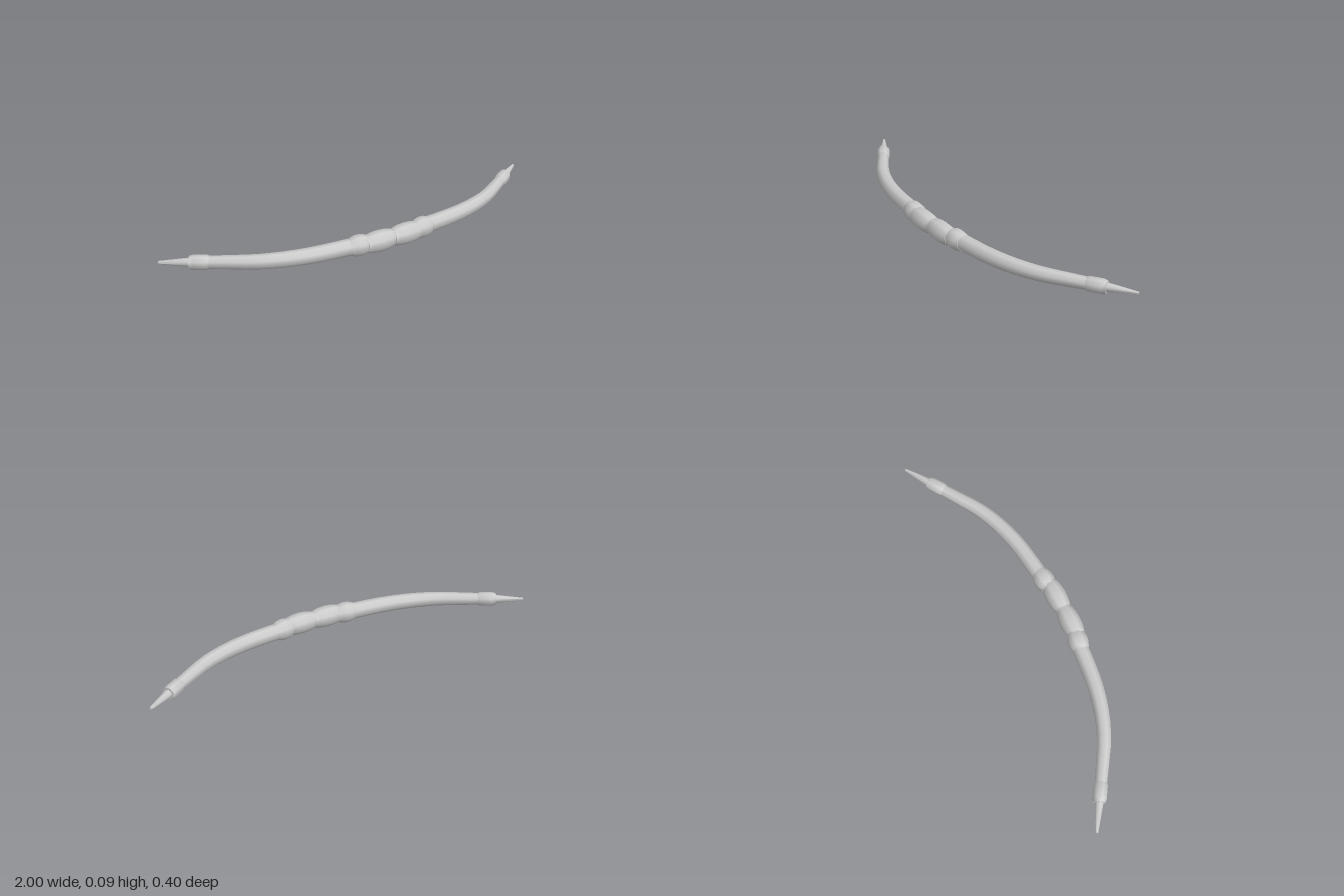
import * as THREE from 'three';
import { toCreasedNormals } from 'three/addons/utils/BufferGeometryUtils.js';

const SIDES = 8;
const MID_Y = 0.047;

// Octagonal tube with flats up and down: centres in the XZ plane, one flat-to-centre distance per ring
function sweep(name, centres, apothems) {
  const pos = [], index = [], up = new THREE.Vector3(0, 1, 0);
  const n = centres.length;
  centres.forEach((c, i) => {
    const t = centres[Math.min(i + 1, n - 1)].clone().sub(centres[Math.max(i - 1, 0)]).normalize();
    const side = t.clone().cross(up);
    const r = apothems[i] / Math.cos(Math.PI / SIDES);
    for (let k = 0; k < SIDES; k++) {
      const a = ((k + 0.5) / SIDES) * Math.PI * 2;
      const p = c.clone().addScaledVector(up, r * Math.cos(a)).addScaledVector(side, r * Math.sin(a));
      pos.push(p.x, p.y, p.z);
    }
  });
  for (let i = 0; i < n - 1; i++) {
    for (let k = 0; k < SIDES; k++) {
      const a = i * SIDES + k, b = i * SIDES + (k + 1) % SIDES;
      index.push(a, a + SIDES, b, b, a + SIDES, b + SIDES);
    }
  }
  // end caps
  const last = (n - 1) * SIDES;
  for (let k = 1; k < SIDES - 1; k++) {
    index.push(0, k, k + 1, last, last + k + 1, last + k);
  }
  // order the corners outwards
  for (let i = 0; i < index.length; i += 3) {
    [index[i + 1], index[i + 2]] = [index[i + 2], index[i + 1]];
  }
  const geo = new THREE.BufferGeometry();
  geo.setAttribute('position', new THREE.Float32BufferAttribute(pos, 3));
  geo.setIndex(index);
  const mat = new THREE.MeshStandardMaterial({ color: 0xcccccc, side: THREE.DoubleSide });
  const mesh = new THREE.Mesh(toCreasedNormals(geo, 0.9), mat);
  mesh.name = name;
  return mesh;
}

// Straight part: profile of [fraction along, apothem] between two (x, z) points
function straight(name, from, to, profile) {
  const a = new THREE.Vector3(from[0], MID_Y, from[1]);
  const b = new THREE.Vector3(to[0], MID_Y, to[1]);
  return sweep(name, profile.map(([f]) => a.clone().lerp(b, f)), profile.map(([, r]) => r));
}

export function createModel() {
  const bow = new THREE.Group();
  bow.name = 'bow';

  const limbPath = [[0.14, 0.142], [0.25, 0.132], [0.4, 0.112], [0.53, 0.077], [0.64, 0.03], [0.74, -0.032], [0.86, -0.109]];
  const innerBead = [[0, 0.036], [0.1, 0.04], [0.27, 0.0445], [0.5, 0.0465], [0.73, 0.0445], [0.9, 0.04], [1, 0.036]];
  const outerBead = [[0, 0.036], [0.2, 0.0425], [0.4, 0.0455], [0.6, 0.0455], [0.8, 0.0425], [1, 0.036]];
  const collar = [[0, 0.026], [0.14, 0.031], [0.8, 0.031], [1, 0.027], [1, 0.021], [0.9, 0.019]];

  for (const [s, label] of [[1, 'left'], [-1, 'right']]) {
    // curved tapering limb
    const curve = new THREE.CatmullRomCurve3(limbPath.map(([x, z]) => new THREE.Vector3(s * x, MID_Y, z)));
    const rings = curve.getSpacedPoints(14);
    const limb = sweep(label + 'Limb', rings, rings.map((_, i) => {
      const f = i / 14;
      return 0.036 - 0.011 * f * f;
    }));

    bow.add(
      limb,
      // swellings of the grip
      straight(label + 'GripInner', [0, 0.156], [s * 0.145, 0.154], innerBead),
      straight(label + 'GripOuter', [s * 0.128, 0.147], [s * 0.218, 0.137], outerBead),
      // collar and spike at the end of the limb
      straight(label + 'Collar', [s * 0.807, -0.075], [s * 0.883, -0.124], collar),
      straight(label + 'Spike', [s * 0.85, -0.103], [s * 0.997, -0.197], [[0, 0.021], [0.25, 0.0185], [1, 0.006]])
    );
  }
  return bow;
}
